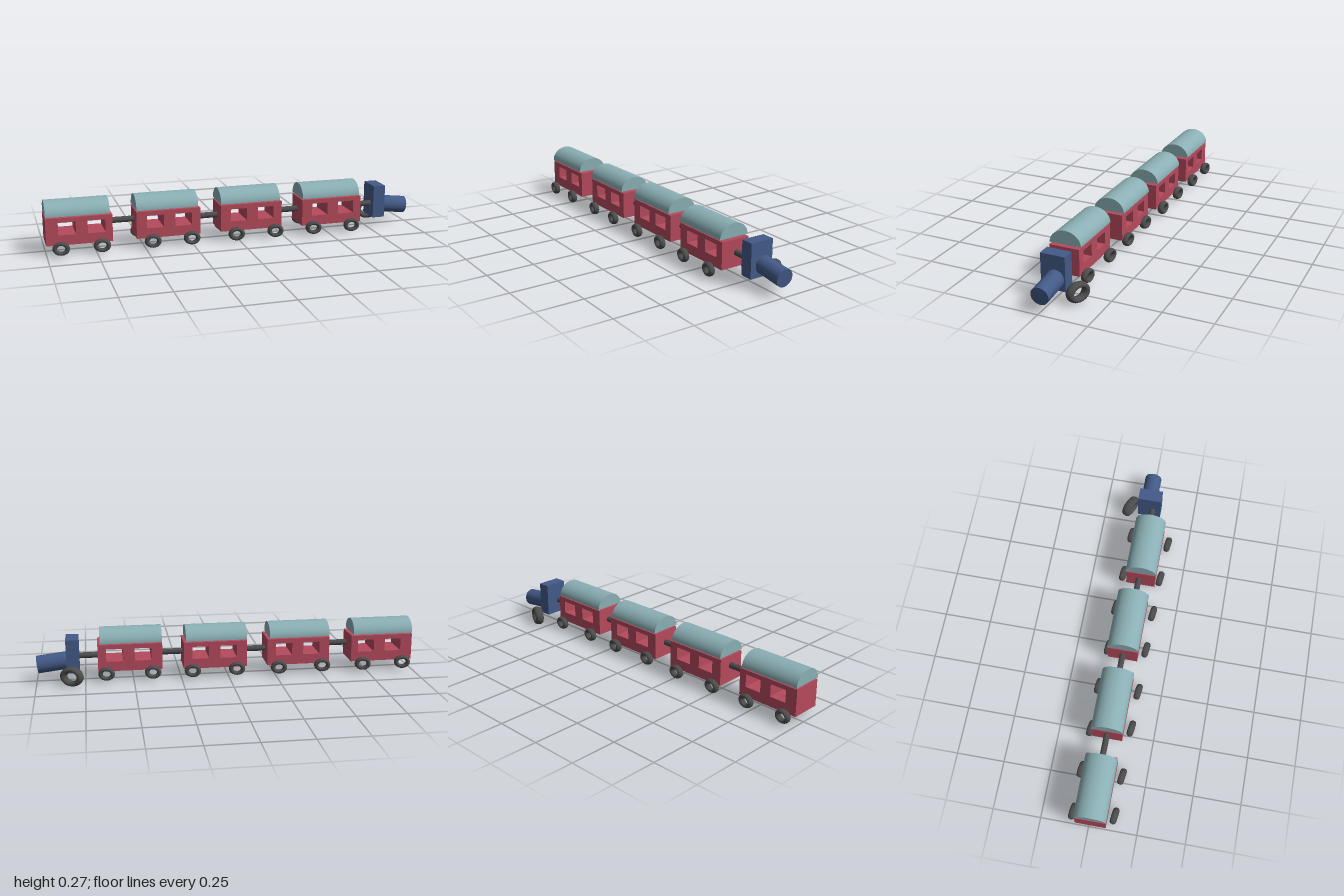
import * as THREE from 'three';

const paint = (color) => new THREE.MeshStandardMaterial({ color });
const red = paint(0xb54a5c), teal = paint(0x8aafb4), navy = paint(0x435a88), dark = paint(0x4c4c4c);

function add(parent, name, geometry, material, x = 0, y = 0, z = 0) {
  const mesh = new THREE.Mesh(geometry, material);
  mesh.name = name;
  mesh.position.set(x, y, z);
  parent.add(mesh);
  return mesh;
}

// Rectangle outline used for the carriage side and its windows
function rect(Type, x0, y0, x1, y1) {
  const p = new Type();
  p.moveTo(x0, y0);
  p.lineTo(x1, y0);
  p.lineTo(x1, y1);
  p.lineTo(x0, y1);
  p.closePath();
  return p;
}

// Carriage body with two window openings running right through it
function bodyGeometry(firstWindow) {
  const side = rect(THREE.Shape, 0, 0.052, 0.335, 0.193);
  for (const x of [firstWindow, firstWindow + 0.148]) {
    side.holes.push(rect(THREE.Path, x, 0.104, x + 0.088, 0.17));
  }
  return new THREE.ExtrudeGeometry(side, { depth: 0.158, bevelEnabled: false }).translate(0, 0, -0.079);
}

// Solid half-elliptical roof running along x
function roofGeometry() {
  const arch = new THREE.Shape();
  arch.absellipse(0, 0, 0.083, 0.071, 0, Math.PI, false, 0);
  arch.closePath();
  const g = new THREE.ExtrudeGeometry(arch, { depth: 0.322, bevelEnabled: false, curveSegments: 32 });
  return g.rotateY(Math.PI / 2);
}

// Open ring wheel, stretched lengthwise and with a wide tread
const tyre = new THREE.TorusGeometry(0.0255, 0.0095, 12, 32).scale(1.24, 1, 1.7);

function addWheel(parent, name, x, y, z, yaw, size = 1) {
  const wheel = add(parent, name, tyre, dark, x, y, z);
  wheel.rotation.y = yaw;
  wheel.scale.setScalar(size);
}

export function createModel() {
  const train = new THREE.Group();
  train.name = 'train';

  // Each carriage: rear end, centre line, first window, wheels as [x, z]
  const carriages = [
    { x: -1.0, z: 0.011, win: 0.062, wheels: [[-0.944, -0.09], [-0.725, -0.09], [-0.93, 0.123], [-0.725, 0.123]] },
    { x: -0.543, z: 0.011, win: 0.054, wheels: [[-0.503, -0.084], [-0.267, -0.088], [-0.466, 0.125], [-0.262, 0.125]] },
    { x: -0.098, z: 0.011, win: 0.054, wheels: [[-0.043, -0.077], [0.192, -0.081], [-0.022, 0.125], [0.192, 0.125]] },
    { x: 0.348, z: 0.028, win: 0.056, wheels: [[0.4, -0.076], [0.641, -0.073], [0.405, 0.13], [0.62, 0.137]] },
  ];
  const roof = roofGeometry();
  carriages.forEach((c, i) => {
    const car = new THREE.Group();
    car.name = `carriage${i + 1}`;
    train.add(car);
    add(car, 'body', bodyGeometry(c.win), red, c.x, 0, c.z);
    add(car, 'roof', roof, teal, c.x + 0.001, 0.2, c.z);
    c.wheels.forEach(([x, z], k) => addWheel(car, `wheel${k + 1}`, x, 0.045, z, -0.13));
  });

  // Coupling rods: start x, end x, y, z
  const rods = [
    [-0.655, -0.535, 0.14, 0.011],
    [-0.215, -0.095, 0.126, 0.011],
    [0.232, 0.352, 0.126, 0.018],
    [0.675, 0.79, 0.124, 0.02],
  ];
  rods.forEach(([x0, x1, y, z], i) => {
    const g = new THREE.CylinderGeometry(0.0155, 0.0155, x1 - x0, 16).rotateZ(Math.PI / 2);
    add(train, `coupling${i + 1}`, g, dark, (x0 + x1) / 2, y, z);
  });

  // Engine: upright cab, slightly drooping boiler and one big skewed wheel
  const engine = new THREE.Group();
  engine.name = 'engine';
  train.add(engine);
  add(engine, 'cab', new THREE.BoxGeometry(0.067, 0.177, 0.127), navy, 0.8115, 0.1405, 0.0015);
  const boiler = new THREE.CylinderGeometry(0.046, 0.046, 0.17, 40).rotateZ(Math.PI / 2);
  add(engine, 'boiler', boiler, navy, 0.909, 0.103, -0.01).rotation.z = -0.12;
  addWheel(engine, 'bigWheel', 0.818, 0.0515, -0.111, -0.44, 1.46);
  return train;
}
